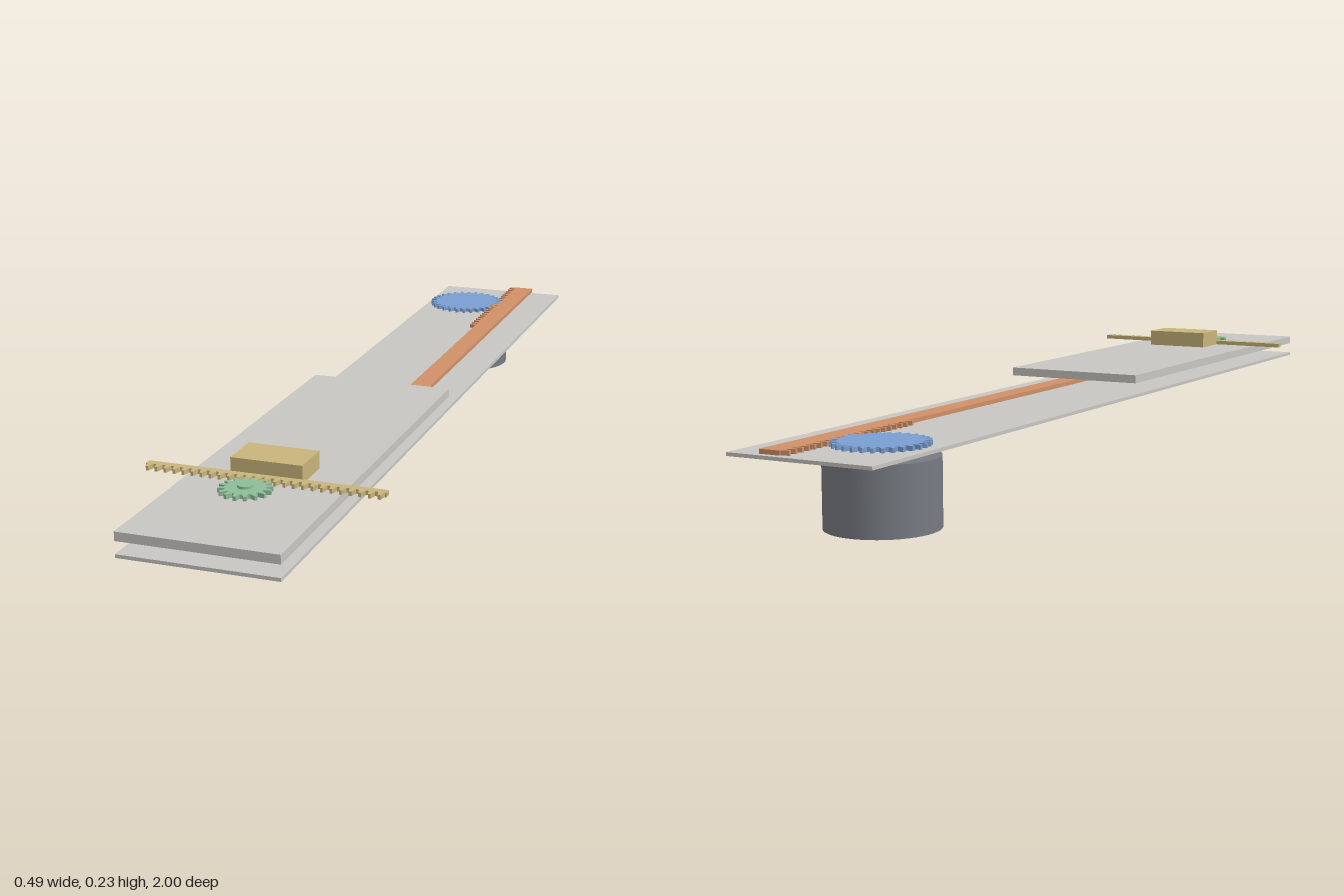
import * as THREE from 'three';

const mat = (name, color) => {
  const m = new THREE.MeshStandardMaterial({ color });
  m.name = name;
  return m;
};

export function createModel() {
  const plateGrey = mat('plate grey', 0xc8c6c2);
  const motorGrey = mat('motor grey', 0x777b82);
  const blue = mat('gear blue', 0x7a9fd2);
  const green = mat('pinion green', 0x8fbc98);
  const orange = mat('rack orange', 0xcf9068);
  const tan = mat('carriage tan', 0xc8b47a);

  const model = new THREE.Group();
  model.name = 'rackAndPinionDrive';

  const add = (name, geometry, material, parent = model) => {
    const mesh = new THREE.Mesh(geometry, material);
    mesh.name = name;
    parent.add(mesh);
    return mesh;
  };

  // box given by its limits on each axis
  const box = (name, material, x0, x1, y0, y1, z0, z1) => {
    const m = add(name, new THREE.BoxGeometry(x1 - x0, y1 - y0, z1 - z0), material);
    m.position.set((x0 + x1) / 2, (y0 + y1) / 2, (z0 + z1) / 2);
  };

  // flat outline of [x, z] points, raised from y0 to y1
  const slab = (name, material, points, y0, y1) => {
    const shape = new THREE.Shape(points.map(([x, z]) => new THREE.Vector2(x, -z)));
    const g = new THREE.ExtrudeGeometry(shape, { depth: y1 - y0, bevelEnabled: false });
    g.rotateX(-Math.PI / 2);
    const m = add(name, g, material);
    m.position.y = y0;
    return m;
  };

  // spur gear with tapered teeth
  const gear = (name, material, x, z, root, tip, teeth, y0, y1, turn = 0) => {
    const points = [];
    const step = (Math.PI * 2) / teeth;
    for (let i = 0; i < teeth; i++) {
      for (const [a, r] of [[-0.34, root], [-0.14, tip], [0.14, tip], [0.34, root]]) {
        const t = (i + a) * step + turn;
        points.push([r * Math.cos(t), r * Math.sin(t)]);
      }
    }
    const m = slab(name, material, points, y0, y1);
    m.position.x = x;
    m.position.z = z;
  };

  // one tooth row along an axis: callback places (along, height)
  const toothRow = (from, to, count, root, tip, place) => {
    const points = [];
    const step = (to - from) / count;
    for (let i = 0; i < count; i++) {
      for (const [a, h] of [[0.16, root], [0.36, tip], [0.64, tip], [0.84, root]]) {
        points.push(place(from + (i + a) * step, h));
      }
    }
    return points;
  };

  // plates
  box('basePlate', plateGrey, -0.157, 0.157, 0.143, 0.15, -1, 1);
  box('upperPlate', plateGrey, -0.157, 0.157, 0.175, 0.193, 0.03, 1);

  // motor under the base plate
  add('motor', new THREE.CylinderGeometry(0.11, 0.11, 0.134, 64), motorGrey)
    .position.set(-0.053, 0.067, -0.817);

  // drive gear
  gear('driveGear', blue, -0.053, -0.82, 0.08, 0.094, 30, 0.153, 0.162, Math.PI / 30);

  // long rack, toothed where each gear meets it
  const alongZ = (s, h) => [h, s];
  slab('longRack', orange, [
    ...toothRow(-1, -0.59, 22, 0.038, 0.022, alongZ),
    ...toothRow(0.53, 0.94, 22, 0.038, 0.022, alongZ),
    [0.038, 0.94], [0.083, 0.94], [0.083, -1], [0.038, -1],
  ], 0.153, 0.162);

  // pinion pair on a shared shaft
  const px = -0.013, pz = 0.757;
  gear('lowerPinion', green, px, pz, 0.039, 0.052, 16, 0.153, 0.162);
  gear('upperPinion', green, px, pz, 0.039, 0.052, 16, 0.197, 0.206);
  add('pinionShaft', new THREE.CylinderGeometry(0.015, 0.015, 0.058, 32), green)
    .position.set(px, 0.182, pz);

  // cross rack with its carriage block
  slab('crossRack', tan, [
    [-0.243, 0.687],
    [-0.243, 0.702],
    ...toothRow(-0.243, 0.243, 26, 0.702, 0.717, (s, h) => [s, h]),
    [0.243, 0.702],
    [0.243, 0.687],
  ], 0.197, 0.206);
  box('carriageBlock', tan, -0.073, 0.073, 0.197, 0.233, 0.6, 0.688);

  return model;
}
